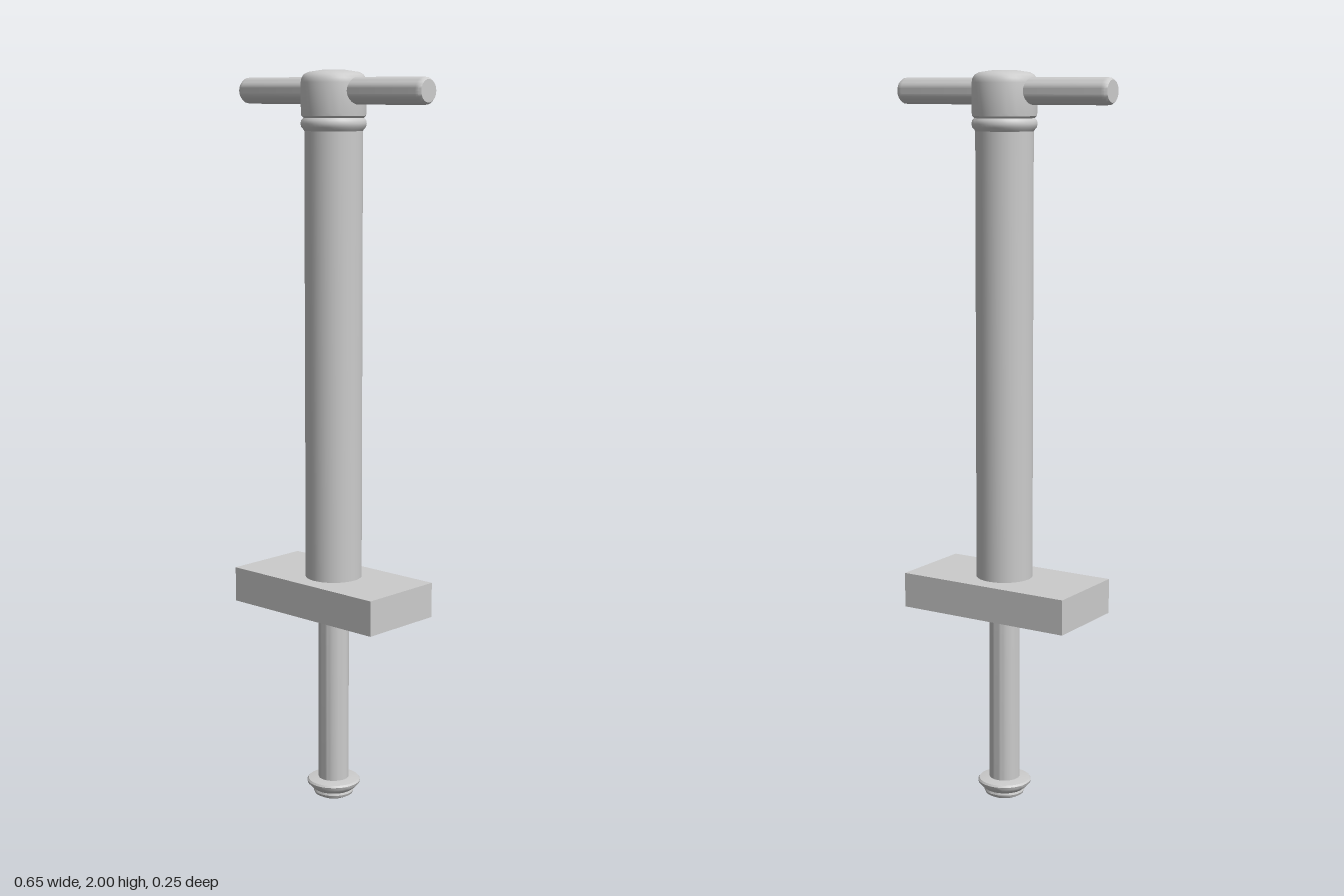
import * as THREE from 'three';
import { toCreasedNormals } from 'three/addons/utils/BufferGeometryUtils.js';

const material = new THREE.MeshStandardMaterial({ color: 0xcccccc });

function addPart(group, name, geometry) {
  const mesh = new THREE.Mesh(geometry, material);
  mesh.name = name;
  group.add(mesh);
  return mesh;
}

// Turned solid from [radius, y] points, listed bottom to top
function turned(profile, sides = 40) {
  const points = profile.map(([r, y]) => new THREE.Vector2(r, y));
  return toCreasedNormals(new THREE.LatheGeometry(points, sides), 0.6);
}

export function createModel() {
  const group = new THREE.Group();
  group.name = 'plungerPump';

  // Foot: small tip under a flared flange
  addPart(group, 'foot', turned([
    [0, 0], [0.04, 0.004], [0.053, 0.011], [0.056, 0.018], [0.054, 0.024],
    [0.064, 0.032], [0.073, 0.042], [0.074, 0.048], [0.07, 0.053], [0.042, 0.057], [0, 0.057],
  ]));

  // Thin rod below the plate
  addPart(group, 'rod', turned([[0, 0.04], [0.042, 0.04], [0.042, 0.56], [0, 0.56]]));

  // Rectangular plate, slightly off centre
  const plate = addPart(group, 'plate', new THREE.BoxGeometry(0.506, 0.096, 0.249));
  plate.position.set(-0.007, 0.59, -0.0015);

  // Main barrel, tapering out slightly under the collar
  addPart(group, 'barrel', turned([
    [0, 0.6], [0.077, 0.6], [0.077, 1.845], [0.077, 1.885], [0, 1.885],
  ]));

  // Rounded collar ring
  addPart(group, 'collar', turned([
    [0.074, 1.838], [0.079, 1.846], [0.085, 1.853], [0.087, 1.862], [0.085, 1.871], [0.078, 1.878], [0.07, 1.878],
  ]));

  // Head with a softly domed top
  addPart(group, 'head', turned([
    [0, 1.876], [0.079, 1.876], [0.085, 1.882], [0.086, 1.89], [0.086, 1.968],
    [0.084, 1.979], [0.078, 1.988], [0.067, 1.994], [0.027, 2], [0, 2],
  ]));

  // Cross handle with bevelled ends
  const handle = addPart(group, 'handle', turned([
    [0, -0.324], [0.029, -0.324], [0.034, -0.317], [0.035, -0.308],
    [0.035, 0.308], [0.034, 0.317], [0.029, 0.324], [0, 0.324],
  ], 28));
  handle.rotation.z = -Math.PI / 2;
  handle.position.y = 1.946;

  return group;
}
